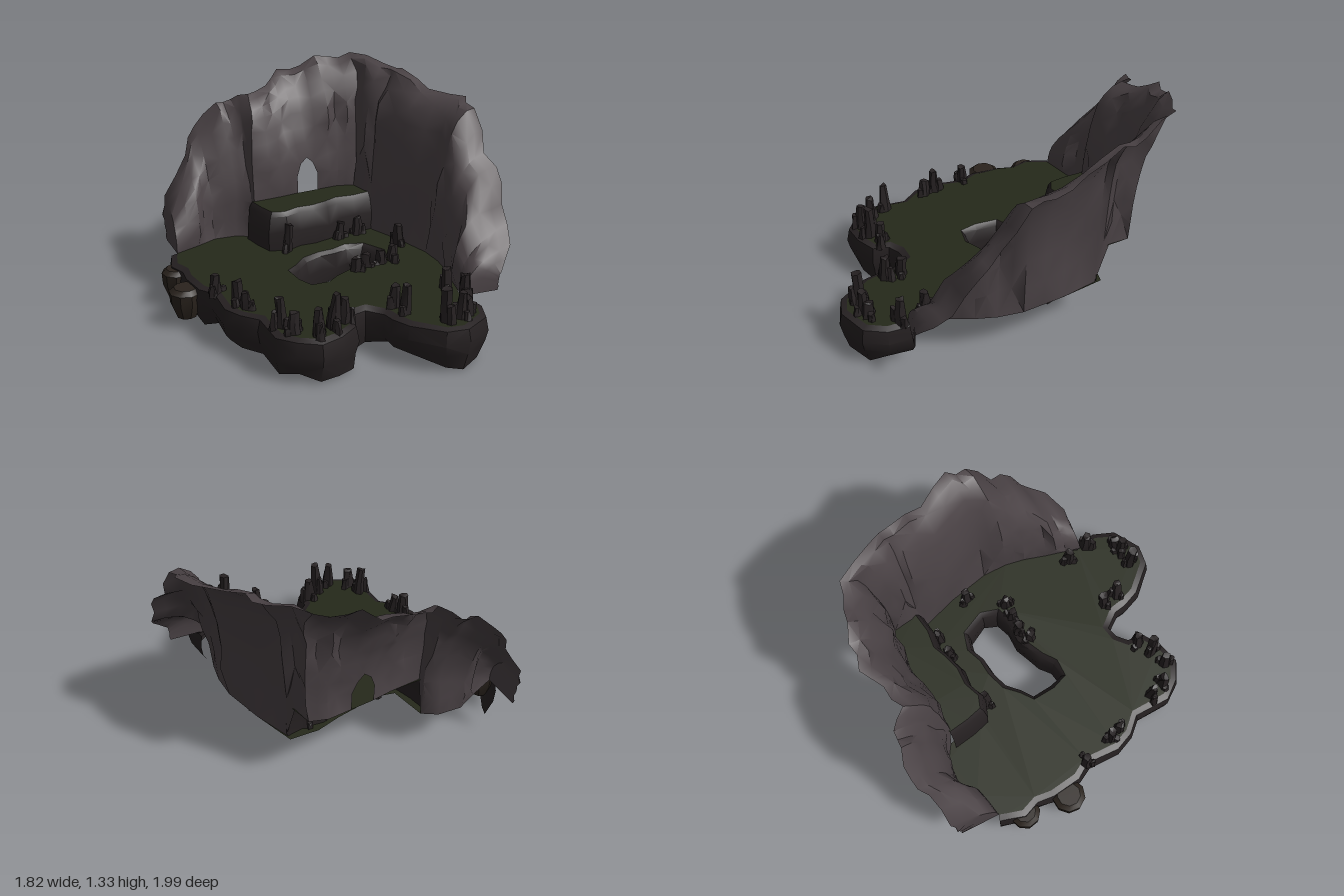
import * as THREE from 'three';
import { toCreasedNormals, mergeGeometries } from 'three/addons/utils/BufferGeometryUtils.js';

const mat = (color) => new THREE.MeshStandardMaterial({ color, side: THREE.DoubleSide });
const cliffMat = mat(0x4a4245), edgeMat = mat(0x262122), mossMat = mat(0x25291a), stepMat = mat(0x2a231d);

// repeatable jitter in -1..1
const jit = (a, b = 0) => {
  const s = Math.sin(a * 127.1 + b * 311.7) * 43758.5453;
  return (s - Math.floor(s)) * 2 - 1;
};

// surface through a grid of points: columns of equal length
function sheet(cols, skip = () => false) {
  const rows = cols[0].length, index = [];
  for (let i = 0; i < cols.length - 1; i++) {
    for (let j = 0; j < rows - 1; j++) {
      if (skip(i, j)) continue;
      const a = i * rows + j, b = a + rows;
      if ((i + j) % 2) index.push(a, b, a + 1, b, b + 1, a + 1);
      else index.push(a, b, b + 1, a, b + 1, a + 1);
    }
  }
  const g = new THREE.BufferGeometry();
  g.setAttribute('position', new THREE.Float32BufferAttribute(cols.flat(2), 3));
  g.setIndex(index);
  return toCreasedNormals(g, 0.65);
}

// rocky band hanging from an outline [x, z]; rows are [y, outward offset, jitter]
function skirt(points, rows, side, closed) {
  const n = points.length;
  const at = (i) => closed ? points[(i + n) % n] : points[Math.max(0, Math.min(n - 1, i))];
  const cols = points.map((p, i) => {
    const a = at(i - 1), b = at(i + 1);
    const dx = b[0] - a[0], dz = b[1] - a[1], l = Math.hypot(dx, dz) || 1;
    return rows.map(([y, off, k], j) => {
      const o = side * (off + k * 0.4 * jit(i, j));
      return [p[0] + dz / l * o, y + k * jit(i, j + 9), p[1] - dx / l * o];
    });
  });
  if (closed) cols.push(cols[0]);
  return sheet(cols);
}

// flat ground from outline [x, z]
function ground(points, y, hole) {
  const v = (p) => new THREE.Vector2(p[0], -p[1]);
  const s = new THREE.Shape(points.map(v));
  if (hole) s.holes.push(new THREE.Path(hole.map(v)));
  return new THREE.ShapeGeometry(s).rotateX(-Math.PI / 2).translate(0, y, 0);
}

// cliff stations: base x, z, y and rim x, z, y
const stations = [
  [-.69, -.88, .29, -.70, -.90, .45], [-.71, -.65, .29, -.67, -.92, .57],
  [-.55, -.70, .29, -.52, -.96, .80], [-.42, -.75, .29, -.43, -.99, .97],
  [-.28, -.73, .29, -.30, -.97, 1.10], [-.20, -.67, .29, -.20, -.94, 1.12],
  [-.19, -.65, .53, -.13, -.85, 1.17], [0, -.65, .53, 0, -.90, 1.21],
  [.12, -.66, .53, .12, -.94, 1.27], [.26, -.66, .53, .27, -.92, 1.31],
  [.40, -.66, .53, .42, -.86, 1.32], [.50, -.62, .53, .56, -.80, 1.36],
  [.51, -.50, .53, .71, -.56, 1.33], [.52, -.42, .29, .74, -.42, 1.31],
  [.58, -.20, .29, .80, -.20, 1.23], [.62, .05, .29, .87, 0, 1.25],
  [.61, .20, .29, .89, .13, 1.17], [.58, .32, .29, .88, .28, .97],
  [.53, .45, .29, .87, .41, .80], [.49, .57, .29, .85, .53, .61],
  [.46, .66, .29, .81, .62, .51], [.68, .69, .29, .70, .69, .39],
];
const ROWS = 9, SUB = 2, HOLE = 8 * SUB; // HOLE: first column of the window

// upright lower face that turns outward into a broad rim, flattest along the side
function cliff() {
  const cols = [];
  for (let i = 0; i <= (stations.length - 1) * SUB; i++) {
    const k = Math.min(Math.floor(i / SUB), stations.length - 2), f = i / SUB - k;
    const s = stations[k].map((v, c) => v + (stations[k + 1][c] - v) * f);
    const nearHole = i >= HOLE && i <= HOLE + SUB;
    const rough = Math.min(1, (s[5] - s[2]) / .7);
    const shelf = s[0] > .5 ? 1.9 : 1.35;
    const col = [];
    for (let j = 0; j <= ROWS; j++) {
      const t = j / ROWS;
      const out = .15 * t + .85 * Math.pow(t, 2.5), up = 1 - Math.pow(1 - t, shelf);
      const calm = j === 0 || (nearHole && j < 4) ? 0 : rough;
      const fold = calm * (0.024 * jit(i, 50) + 0.018 * jit(i, Math.floor(j / 2)));
      let x = s[0] + (s[3] - s[0]) * out + fold * (s[0] > .45 ? 1 : .3);
      let y = s[2] + (s[5] - s[2]) * up + calm * (0.014 * jit(j, i + 3) + .02 * t * jit(i, 70));
      const z = s[1] + (s[4] - s[1]) * out + fold * (s[0] > .45 ? .4 : 1);
      // arched top of the window
      if (nearHole && j === 2) {
        y = i === HOLE + 1 ? .75 : .715;
        x += .03 * (HOLE + 1 - i);
      }
      col.push([x, y, z]);
    }
    cols.push(col);
  }
  return sheet(cols, (i, j) => i >= HOLE && i < HOLE + SUB && j < 2);
}

const freeEdge = [
  [.46, .64], [.47, .78], [.42, .88], [.27, .95], [.18, .93], [.06, .78], [.03, .68], [.02, .60],
  [-.06, .49], [-.16, .50], [-.24, .56], [-.25, .65], [-.35, .70], [-.46, .72], [-.55, .66],
  [-.61, .57], [-.60, .35], [-.68, .25], [-.71, .15], [-.69, -.05], [-.74, -.15], [-.75, -.32],
  [-.73, -.42], [-.76, -.52], [-.73, -.60], [-.71, -.65],
];
const cliffEdge = [
  [-.55, -.70], [-.42, -.75], [-.28, -.73], [-.20, -.67], [-.18, -.45], [-.08, -.42], [.20, -.45],
  [.35, -.48], [.52, -.46], [.58, -.20], [.62, .05], [.61, .20], [.58, .32], [.53, .45], [.49, .57],
];
const pit = [
  [-.23, -.11], [-.15, -.16], [-.07, -.23], [.05, -.26], [.15, -.26], [.25, -.29], [.36, -.25],
  [.42, -.10], [.38, .01], [.26, .04], [.15, .03], [.07, .06], [-.01, .09], [-.09, .14], [-.20, .13], [-.23, .03],
];
const ledgeFront = [
  [-.20, -.66], [-.19, -.54], [-.17, -.44], [-.10, -.41], [0, -.44], [.10, -.43],
  [.20, -.45], [.29, -.48], [.40, -.46], [.52, -.47],
];

// one blocky standing stone
function stone(x, z, h, r, seed) {
  const g = new THREE.CylinderGeometry(r * .65, r, h, 6, 2);
  const p = g.attributes.position;
  for (let i = 0; i < p.count; i++) {
    // same jitter for coincident corners
    const q = Math.round(p.getX(i) * 500) + Math.round(p.getZ(i) * 500) * 3 + Math.round(p.getY(i) * 100);
    p.setXYZ(i, p.getX(i) + r * .2 * jit(q, seed), p.getY(i) + r * .2 * jit(q, seed + 1), p.getZ(i) + r * .2 * jit(q, seed + 2));
  }
  g.rotateY(seed).rotateZ(.1 * jit(seed));
  return toCreasedNormals(g, .5).translate(x, .27 + h / 2, z);
}

// stone clusters: x, z, height
const clusters = [
  [-.71, -.05, .12], [-.67, .15, .16], [-.65, .22, .12], [-.58, .50, .19], [-.55, .60, .14], [-.45, .68, .17],
  [-.34, .66, .22], [-.26, .61, .16], [.07, .58, .14], [.08, .68, .18], [.21, .87, .21], [.31, .87, .17],
  [.36, .85, .12], [.45, .70, .17], [.43, .55, .16], [.12, .08, .10], [.20, .05, .10], [.30, .06, .10],
  [.38, .06, .12], [.54, -.13, .15], [.40, -.40, .13], [.28, -.40, .12], [-.10, -.37, .19],
];

export function createModel() {
  const model = new THREE.Group();
  const add = (name, geometry, material) => {
    const m = new THREE.Mesh(geometry, material);
    m.name = name;
    model.add(m);
  };

  add('cliffWall', cliff(), cliffMat);

  // ground with its pit, and the rock hanging below both edges
  add('ground', ground([...freeEdge, ...cliffEdge], .29, pit), mossMat);
  const drop = [[.29, 0, 0], [.275, .035, .006], [.20, .05, .012], [.13, .035, .015], [.065, .01, .04]];
  add('groundEdge', skirt(freeEdge, drop, 1, false), edgeMat);
  add('pitEdge', skirt(pit, [[.29, 0, 0], [.265, .025, .006], [.18, .04, .012], [.09, .035, .03]], -1, true), edgeMat);

  // raised ledge at the back
  add('ledge', ground([...ledgeFront, [.50, -.62], [.40, -.66], [.26, -.66], [.12, -.66], [0, -.65]], .53), mossMat);
  add('ledgeEdge', skirt(ledgeFront, [[.53, 0, 0], [.50, .02, .005], [.40, .04, .02], [.28, .04, .005]], -1, false), edgeMat);

  // lower steps on the side
  [[-.82, -.24, .098], [-.77, -.51, .09]].forEach(([x, z, r], i) => {
    const profile = [[0, .265], [r * .7, .265], [r, .24], [r * .95, .17], [r * .6, .085]];
    const g = new THREE.LatheGeometry(profile.map(([a, b]) => new THREE.Vector2(a, b)), 9, i);
    add('sideStep', toCreasedNormals(g, .6).translate(x, 0, z), stepMat);
  });

  // standing stones: a tall one with two small ones beside it
  const stones = [];
  clusters.forEach(([x, z, h], i) => {
    stones.push(stone(x, z, h, .038, i + 1));
    for (let k = 0; k < 2; k++) {
      const a = i * 2.4 + k * 2.5;
      stones.push(stone(x + .035 * Math.cos(a), z + .035 * Math.sin(a), h * (.4 + .2 * k), .027, i + 40 + k * 30));
    }
  });
  add('standingStones', mergeGeometries(stones), edgeMat);
  return model;
}
